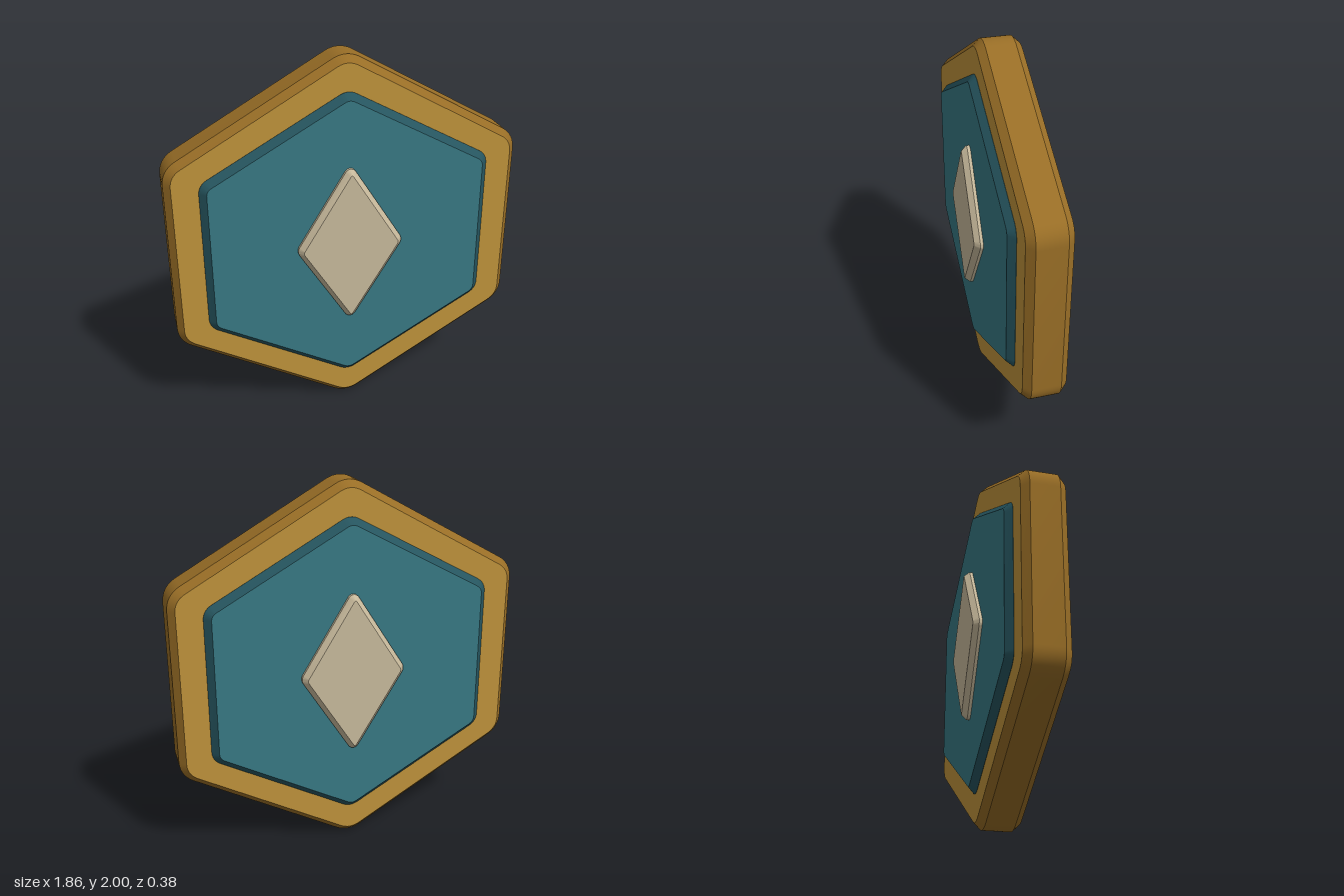
import * as THREE from 'three';
import { toCreasedNormals } from 'three/addons/utils/BufferGeometryUtils.js';

function material(name, color) {
  const m = new THREE.MeshStandardMaterial({ color });
  m.name = name;
  return m;
}

// Closed polygon whose corners are softened over the distance r
function roundedPolygon(points, r) {
  const corners = points.map(([x, y]) => new THREE.Vector2(x, y));
  const shape = new THREE.Shape();
  const toward = (a, b) => a.clone().add(b.clone().sub(a).setLength(r));
  corners.forEach((c, i) => {
    const a = toward(c, corners.at(i - 1));
    const b = toward(c, corners[(i + 1) % corners.length]);
    if (i === 0) shape.moveTo(a.x, a.y);
    else shape.lineTo(a.x, a.y);
    shape.quadraticCurveTo(c.x, c.y, b.x, b.y);
  });
  shape.closePath();
  return shape;
}

// Bevelled plate centred on z = 0; materials are [faces, sides]
function plate(name, points, { round, bevel, bevelDepth, halfDepth }, materials) {
  const depth = 2 * (halfDepth - bevelDepth);
  const geometry = new THREE.ExtrudeGeometry(roundedPolygon(points, round), {
    depth,
    bevelEnabled: true,
    bevelSegments: 1,
    bevelSize: bevel,
    bevelThickness: bevelDepth,
    curveSegments: 8,
  });
  geometry.translate(0, 0, -depth / 2);
  const mesh = new THREE.Mesh(toCreasedNormals(geometry, 0.5), materials);
  mesh.name = name;
  mesh.position.y = 1;
  return mesh;
}

// Upright hexagon: tip height, half width, height of the side corners
const hexagon = (tip, w, h) => [[0, tip], [-w, h], [-w, -h], [0, -tip], [w, -h], [w, h]];

export function createModel() {
  const gold = material('gold', 0xbf933b);
  const darkGold = material('dark gold', 0x996e26);
  const teal = material('teal', 0x38798 << 4 | 0x4);
  const darkTeal = material('dark teal', 0x26555f);
  const ivory = material('ivory', 0xc8ba9c);

  const group = new THREE.Group();
  group.name = 'hexagonalBadge';
  group.add(
    // Outer gold body
    plate('frame', hexagon(0.98, 0.893, 0.474),
      { round: 0.062, bevel: 0.035, bevelDepth: 0.037, halfDepth: 0.112 }, [gold, darkGold]),
    // Teal panel standing proud on both sides
    plate('panel', hexagon(0.793, 0.725, 0.392),
      { round: 0.03, bevel: 0.035, bevelDepth: 0.035, halfDepth: 0.148 }, [teal, darkTeal]),
    // Diamond in the middle of both faces
    plate('diamond', [[0, 0.415], [-0.258, 0], [0, -0.415], [0.258, 0]],
      { round: 0.014, bevel: 0.025, bevelDepth: 0.028, halfDepth: 0.192 }, [ivory, ivory]),
  );
  return group;
}
